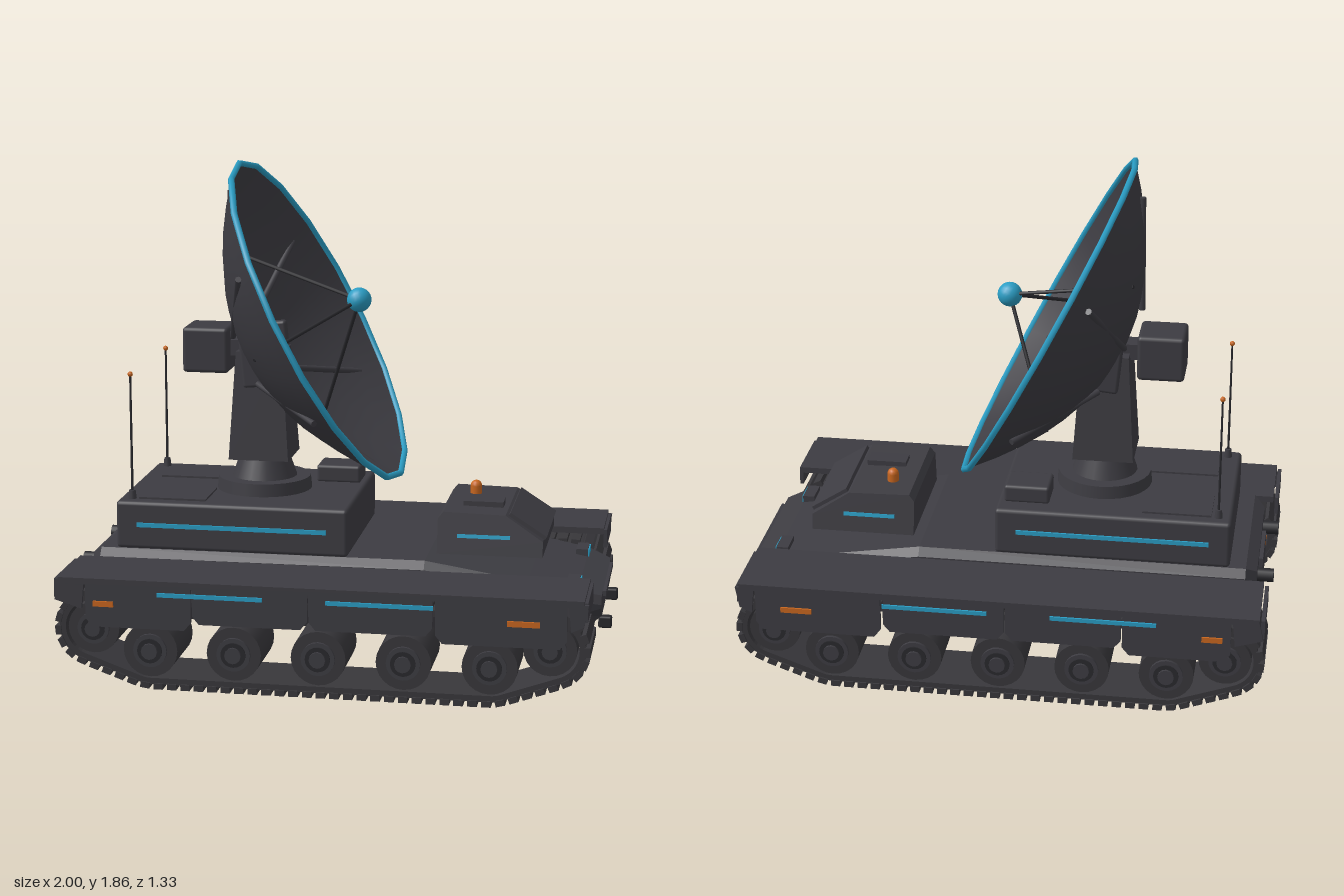
import * as THREE from 'three';
import { RoundedBoxGeometry } from 'three/addons/geometries/RoundedBoxGeometry.js';

const paint = (name, color, side = THREE.FrontSide) => {
  const m = new THREE.MeshStandardMaterial({ color, side });
  m.name = name;
  return m;
};

export function createModel() {
  const model = new THREE.Group();
  model.name = 'radarVehicle';
  const body = paint('charcoal', 0x3d3c42, THREE.DoubleSide);
  const rubber = paint('trackGrey', 0x38373b);
  const black = paint('darkGrey', 0x29292d);
  const blue = paint('blue', 0x2a9dc4);
  const orange = paint('orange', 0xc8661f);

  // Helpers
  const add = (name, geo, mat, x = 0, y = 0, z = 0, parent = model) => {
    const m = new THREE.Mesh(geo, mat);
    m.name = name;
    m.position.set(x, y, z);
    parent.add(m);
    return m;
  };
  const box = (name, mat, x, y, z, w, h, d) => add(name, new THREE.BoxGeometry(w, h, d), mat, x, y, z);
  const soft = (name, mat, x, y, z, w, h, d, r = 0.012) =>
    add(name, new RoundedBoxGeometry(w, h, d, 2, r), mat, x, y, z);
  const cylZ = (r, len, n = 20) => new THREE.CylinderGeometry(r, r, len, n).rotateX(Math.PI / 2);
  const plate = (pts, depth) => {
    const shape = new THREE.Shape(pts.map(p => new THREE.Vector2(...p)));
    return new THREE.ExtrudeGeometry(shape, { depth, bevelEnabled: false }).translate(0, 0, -depth / 2);
  };
  const rod = (name, mat, a, b, r, parent) => {
    const dir = b.clone().sub(a), mid = a.clone().add(b).multiplyScalar(0.5);
    const m = add(name, new THREE.CylinderGeometry(r, r, dir.length(), 8), mat, mid.x, mid.y, mid.z, parent);
    m.quaternion.setFromUnitVectors(new THREE.Vector3(0, 1, 0), dir.normalize());
    return m;
  };

  // Hull lofted along x: [x, bottom, top, half width]
  const stations = [[-0.94, 0.23, 0.41, 0.3], [-0.9, 0.17, 0.44, 0.343], [0.32, 0.16, 0.443, 0.345],
    [0.7, 0.16, 0.383, 0.345], [0.88, 0.18, 0.35, 0.335], [0.965, 0.24, 0.325, 0.285]];
  const rings = stations.map(([x, lo, hi, w]) => {
    const half = [[w - 0.025, hi], [w, hi - 0.03], [w, lo + (hi - lo) * 0.5], [w - 0.05, lo]];
    return [...half, ...half.map(([z, y]) => [-z, y]).reverse()].map(([z, y]) => [x, y, z]);
  });
  const tri = [];
  const quad = (a, b, c, d) => tri.push(...a, ...b, ...c, ...a, ...c, ...d);
  for (let i = 0; i < rings.length - 1; i++) {
    for (let j = 0; j < 8; j++) {
      const k = (j + 1) % 8;
      quad(rings[i][j], rings[i][k], rings[i + 1][k], rings[i + 1][j]);
    }
  }
  const first = rings[0], last = rings[rings.length - 1];
  for (let j = 1; j < 7; j++) {
    tri.push(...first[0], ...first[j + 1], ...first[j]);
    tri.push(...last[0], ...last[j], ...last[j + 1]);
  }
  // reverse every triangle so the faces point outward
  const pos = [];
  for (let i = 0; i < tri.length; i += 9) {
    pos.push(...tri.slice(i, i + 3), ...tri.slice(i + 6, i + 9), ...tri.slice(i + 3, i + 6));
  }
  const hullGeo = new THREE.BufferGeometry();
  hullGeo.setAttribute('position', new THREE.Float32BufferAttribute(pos, 3));
  hullGeo.computeVertexNormals();
  add('hull', hullGeo, body);
  box('bowBar', body, 0.967, 0.315, 0, 0.02, 0.02, 0.4);
  box('bowPlate', body, 0.95, 0.25, 0, 0.03, 0.02, 0.42);
  box('rearPlate', body, -0.945, 0.32, 0, 0.02, 0.13, 0.24);

  // Track outline: belt wrapped round the end wheels and outer road wheels
  const tilt = 0.344;
  const outline = (r, Kind) => {
    const p = new Kind();
    p.absarc(-0.85, 0.22, r, Math.PI / 2, 1.5 * Math.PI - tilt);
    p.absarc(-0.64, 0.145, r, 1.5 * Math.PI - tilt, 1.5 * Math.PI);
    p.absarc(0.6, 0.145, r, 1.5 * Math.PI, 1.5 * Math.PI + tilt);
    p.absarc(0.81, 0.22, r, 1.5 * Math.PI + tilt, 2.5 * Math.PI);
    p.closePath();
    return p;
  };
  const beltShape = outline(0.127, THREE.Shape);
  beltShape.holes.push(outline(0.104, THREE.Path));
  const beltGeo = new THREE.ExtrudeGeometry(beltShape, { depth: 0.25, bevelEnabled: false, curveSegments: 10 })
    .translate(0, 0, -0.125);
  const padLine = outline(0.134, THREE.Path).getSpacedPoints(84);
  const padGeo = new THREE.BoxGeometry(0.034, 0.022, 0.264);

  const skirts = [[-0.87, -0.48, 0.235], [-0.475, -0.055, 0.26], [-0.05, 0.395, 0.26], [0.405, 0.87, 0.235]];
  for (const s of [1, -1]) {
    const zt = 0.5 * s;
    // Running gear
    add('trackBelt', beltGeo, rubber, 0, 0, zt);
    for (let i = 0; i < 84; i++) {
      const a = padLine[i], b = padLine[i + 1];
      const pad = add('trackPad', padGeo, rubber, (a.x + b.x) / 2, (a.y + b.y) / 2, zt);
      pad.rotation.z = Math.atan2(b.y - a.y, b.x - a.x);
    }
    const wheel = (x, y, r) => {
      add('wheel', cylZ(r, 0.24, 24), rubber, x, y, zt);
      add('wheelDisc', cylZ(r * 0.62, 0.262), body, x, y, zt);
      add('wheelRing', cylZ(r * 0.46, 0.272), black, x, y, zt);
      add('wheelHub', cylZ(r * 0.3, 0.29, 12), body, x, y, zt);
    };
    for (let i = 0; i < 5; i++) wheel(-0.64 + i * 0.309, 0.145, 0.1);
    wheel(-0.85, 0.22, 0.095);
    wheel(0.81, 0.22, 0.095);

    // Fender, skirts and end flaps
    box('fender', body, -0.02, 0.403, 0.51 * s, 1.9, 0.024, 0.3);
    for (const [a, b, lo] of skirts) {
      add('skirt', plate([[a, 0.395], [a, lo + 0.03], [a + 0.025, lo], [b - 0.025, lo], [b, lo + 0.03], [b, 0.395]], 0.014),
        body, 0, 0, 0.65 * s);
    }
    add('rearFlap', plate([[-0.97, 0.4], [-0.985, 0.33], [-0.885, 0.3], [-0.875, 0.4]], 0.014), body, 0, 0, 0.65 * s);
    add('frontFlap', plate([[0.875, 0.4], [0.885, 0.3], [0.93, 0.32], [0.945, 0.4]], 0.014), body, 0, 0, 0.65 * s);
    box('frontMudguard', body, 0.935, 0.37, 0.51 * s, 0.014, 0.07, 0.27);
    box('rearMudguard', body, -0.982, 0.37, 0.51 * s, 0.014, 0.07, 0.27);

    // Side stripes and markers
    for (const x of [-0.41, 0.205]) box('skirtStripe', blue, x, 0.365, 0.66 * s, 0.385, 0.015, 0.008);
    box('rearMarker', orange, -0.803, 0.322, 0.66 * s, 0.075, 0.02, 0.008);
    box('frontMarker', orange, 0.718, 0.322, 0.66 * s, 0.115, 0.02, 0.008);
    box('deckhouseStripe', blue, -0.403, 0.533, 0.327 * s, 0.715, 0.016, 0.008);

    // Lamps, exhausts and tow hooks
    box('headlamp', body, 0.86, 0.36, 0.225 * s, 0.045, 0.035, 0.1);
    box('headlampLens', blue, 0.884, 0.36, 0.225 * s, 0.006, 0.028, 0.09);
    add('exhaust', new THREE.CylinderGeometry(0.026, 0.026, 0.09, 14).rotateZ(Math.PI / 2), black, -0.955, 0.36, 0.2 * s);
    box('tailLamp', orange, -0.947, 0.29, 0.2 * s, 0.012, 0.03, 0.085);
    soft('towHook', black, 0.975, 0.205, 0.185 * s, 0.05, 0.045, 0.035, 0.008);

    // Whip antennas and roof hatches
    add('antennaBase', new THREE.CylinderGeometry(0.012, 0.016, 0.035, 10), body, -0.79, 0.635, 0.27 * s);
    add('antenna', new THREE.CylinderGeometry(0.004, 0.005, 0.46, 6), black, -0.79, 0.86, 0.27 * s);
    add('antennaTip', new THREE.SphereGeometry(0.01, 8, 6), orange, -0.79, 1.092, 0.27 * s);
    box('roofHatch', body, -0.637, 0.62, 0.178 * s, 0.255, 0.014, 0.195);

    // Yoke arm
    const arm = soft('yokeArm', body, -0.335, 1.135, 0.11 * s, 0.14, 0.21, 0.045);
    arm.rotation.z = 0.1;
  }

  // Deckhouse
  soft('deckhouse', body, -0.403, 0.53, 0, 0.875, 0.18, 0.648, 0.015);
  soft('equipmentBox', body, -0.075, 0.65, -0.18, 0.17, 0.068, 0.14);

  // Cab, narrowing toward its roof
  const cabGeo = plate([[0.355, 0.452], [0.745, 0.452], [0.745, 0.51], [0.605, 0.6], [0.375, 0.605], [0.355, 0.58]], 0.5);
  const cp = cabGeo.attributes.position;
  for (let i = 0; i < cp.count; i++) cp.setZ(i, cp.getZ(i) * (1 - 0.75 * (cp.getY(i) - 0.45)));
  cabGeo.computeVertexNormals();
  add('cab', cabGeo, body);
  const visor = box('windscreen', body, 0.685, 0.557, 0, 0.16, 0.014, 0.4);
  visor.rotation.z = -0.571;
  box('cabHatch', body, 0.51, 0.61, 0.07, 0.15, 0.022, 0.08);
  for (const s of [1, -1]) {
    const stripe = box('cabStripe', blue, 0.527, 0.52, 0.238 * s, 0.195, 0.014, 0.008);
    stripe.rotation.x = -0.185 * s;
  }
  add('beaconBase', new THREE.CylinderGeometry(0.022, 0.022, 0.03, 14), orange, 0.46, 0.617, -0.095);
  add('beacon', new THREE.SphereGeometry(0.022, 14, 8), orange, 0.46, 0.632, -0.095);

  // Mast
  add('turntable', new THREE.CylinderGeometry(0.175, 0.18, 0.05, 28), body, -0.34, 0.643, 0);
  add('turntableCollar', new THREE.CylinderGeometry(0.095, 0.125, 0.085, 24), body, -0.34, 0.705, 0);
  add('mast', new THREE.CylinderGeometry(0.088 * Math.SQRT2, 0.114 * Math.SQRT2, 0.41, 4, 1).rotateY(Math.PI / 4)
    .toNonIndexed(), body, -0.342, 0.95, 0).geometry.computeVertexNormals();
  add('trunnion', cylZ(0.032, 0.29, 16), body, -0.335, 1.16, 0);
  soft('counterweight', body, -0.548, 1.155, 0, 0.175, 0.172, 0.18, 0.015);
  box('counterweightBracket', body, -0.43, 1.16, 0, 0.1, 0.06, 0.08);

  // Dish group: local y is the aiming axis, local z points up the dish, origin at the rim centre
  const dish = new THREE.Group();
  dish.name = 'dish';
  const R = 0.655, DEPTH = 0.3;
  const axis = new THREE.Vector3(0.885, 0.467, 0).normalize();
  const up = new THREE.Vector3(-axis.y, axis.x, 0);
  dish.applyMatrix4(new THREE.Matrix4().makeBasis(new THREE.Vector3(0, 0, 1), axis, up));
  dish.position.set(-0.123, 1.272, 0);
  model.add(dish);
  const bowl = r => -DEPTH * (1 - (r / R) ** 2);
  const onBowl = (r, a, lift = 0) => new THREE.Vector3(r * Math.cos(a), bowl(r) + lift, r * Math.sin(a));
  const profile = Array.from({ length: 9 }, (_, i) => new THREE.Vector2(R * i / 8, bowl(R * i / 8)));
  add('reflector', new THREE.LatheGeometry(profile, 18), body, 0, 0, 0, dish);
  add('rim', new THREE.TorusGeometry(R, 0.012, 6, 18).rotateZ(Math.PI / 2).rotateX(Math.PI / 2), blue, 0, 0, 0, dish);
  for (let i = 0; i < 6; i++) {
    const a = Math.PI / 6 + i * Math.PI / 3;
    rod('rib', body, onBowl(0.2, a, -0.012), onBowl(0.58, a, -0.012), 0.012, dish);
  }
  // Feed horn on three struts
  const feed = new THREE.Vector3(0, 0.166, 0);
  for (let i = 0; i < 3; i++) rod('feedStrut', black, feed, onBowl(0.385, i * 2 * Math.PI / 3), 0.007, dish);
  rod('feedStem', black, onBowl(0, 0), new THREE.Vector3(0, -0.2, 0), 0.02, dish);
  add('feed', new THREE.SphereGeometry(0.046, 18, 12), blue, 0, feed.y, 0, dish);

  return model;
}
